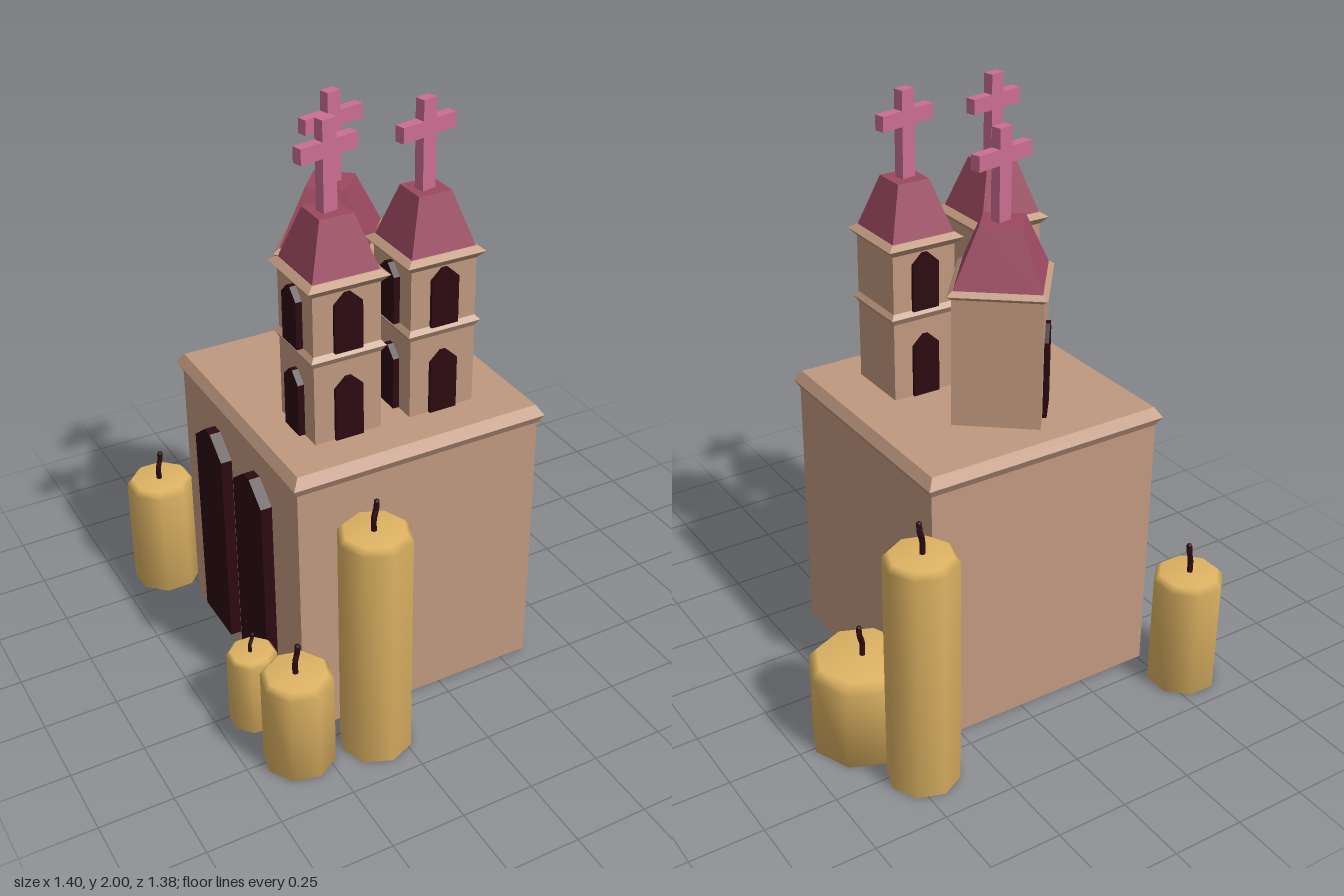
import * as THREE from 'three';

const mat = (name, color) => {
  const m = new THREE.MeshStandardMaterial({ color });
  m.name = name;
  return m;
};

export function createModel() {
  const stone = mat('stone', 0xc0987f);
  const roofRed = mat('roofRed', 0x9c4860);
  const pink = mat('pink', 0xcb6d90);
  const wax = mat('wax', 0xdeb363);
  const dark = mat('dark', 0x2c0a11);

  const model = new THREE.Group();
  model.name = 'chapel';

  const add = (parent, name, geometry, material, x = 0, y = 0, z = 0) => {
    const mesh = new THREE.Mesh(geometry, material);
    mesh.name = name;
    mesh.position.set(x, y, z);
    parent.add(mesh);
    return mesh;
  };

  // Square stack: profile of [half width, height], flat faces
  const squareStack = (profile) => {
    const pts = [[0, profile[0][1]], ...profile, [0, profile[profile.length - 1][1]]]
      .map(([h, y]) => new THREE.Vector2(h * Math.SQRT2, y));
    const g = new THREE.LatheGeometry(pts, 4, Math.PI / 4).toNonIndexed();
    g.computeVertexNormals();
    return g;
  };

  // Pointed opening, standing on y = 0, facing +z
  const archPanel = (w, h, shoulder, depth) => {
    const s = new THREE.Shape();
    s.moveTo(-w / 2, 0);
    s.lineTo(w / 2, 0);
    s.lineTo(w / 2, h - shoulder);
    s.lineTo(w * 0.1, h);
    s.lineTo(-w * 0.1, h);
    s.lineTo(-w / 2, h - shoulder);
    s.closePath();
    return new THREE.ExtrudeGeometry(s, { depth, bevelEnabled: false });
  };

  // Put a panel on a wall at the given distance; angle 0 = front
  const mount = (parent, name, geometry, angle, dist, y, along = 0) => {
    const pivot = new THREE.Group();
    pivot.rotation.y = angle;
    parent.add(pivot);
    add(pivot, name, geometry, dark, along, y, dist);
  };

  const addCross = (x, y, z, height, span) => {
    const cross = new THREE.Group();
    cross.name = 'cross';
    cross.position.set(x, y, z);
    cross.rotation.y = 0.22;
    const armY = height - 0.09;
    add(cross, 'crossPost', new THREE.BoxGeometry(0.052, height + 0.01, 0.036), pink, 0, height / 2 - 0.005);
    for (const side of [-1, 1]) {
      const len = (span - 0.052) / 2;
      add(cross, 'crossArm', new THREE.BoxGeometry(len, 0.05, 0.036), pink, side * (0.026 + len / 2), armY);
    }
    model.add(cross);
  };

  // Main block with cornice
  add(model, 'mainBlock', squareStack([
    [0.43, 0], [0.43, 0.935], [0.447, 0.965], [0.425, 1],
  ]), stone, -0.083, 0, 0.005);

  // Tall doors on the right wall
  for (const z of [-0.153, 0.147]) {
    const door = add(model, 'blockDoor', archPanel(0.207, 0.78, 0.065, 0.04), dark, -0.511, 0.07, z);
    door.rotation.y = -Math.PI / 2;
  }

  // Two front towers
  for (const x of [-0.266, 0.067]) {
    const tower = new THREE.Group();
    tower.name = 'frontTower';
    tower.position.set(x, 1, 0.185);
    add(tower, 'towerWall', squareStack([
      [0.115, 0], [0.115, 0.27], [0.128, 0.292], [0.115, 0.308],
      [0.115, 0.505], [0.137, 0.53], [0.115, 0.545],
    ]), stone);
    add(tower, 'towerRoof', squareStack([[0.114, 0.54], [0.057, 0.717]]), roofRed);
    // Windows on front, back and right walls
    for (const angle of [0, Math.PI, -Math.PI / 2]) {
      const depth = angle < 0 ? 0.023 : 0.014;
      mount(tower, 'lowerWindow', archPanel(0.095, 0.215, 0.036, depth), angle, 0.113, 0.002);
      mount(tower, 'upperWindow', archPanel(0.095, 0.195, 0.036, depth), angle, 0.113, 0.306);
    }
    model.add(tower);
    addCross(x - 0.004, 1.717, 0.187, 0.285, 0.212);
  }

  // Turned rear tower
  const rear = new THREE.Group();
  rear.name = 'rearTower';
  rear.position.set(-0.084, 1, -0.148);
  rear.rotation.y = -0.68;
  add(rear, 'rearWall', squareStack([
    [0.143, 0], [0.143, 0.435], [0.156, 0.448], [0.14, 0.463],
  ]), stone);
  add(rear, 'rearRoof', squareStack([[0.14, 0.46], [0.067, 0.647]]), roofRed);
  for (const angle of [0, -Math.PI / 2]) {
    mount(rear, 'rearDoor', archPanel(0.13, 0.31, 0.045, 0.016), angle, 0.141, 0.002);
  }
  model.add(rear);
  addCross(-0.082, 1.647, -0.142, 0.298, 0.23);

  // Candles: x, z, radius, height, wick length, turn
  const candles = [
    [-0.322, 0.57, 0.12, 0.835, 0.105, 0],
    [-0.575, 0.523, 0.118, 0.35, 0.105, 0.15],
    [-0.622, 0.287, 0.083, 0.28, 0.07, 0.35],
    [-0.572, -0.58, 0.121, 0.425, 0.105, 0.4],
    [0.455, -0.54, 0.12, 0.835, 0.105, 0.08],
    [0.52, -0.265, 0.178, 0.318, 0.105, 0],
  ];
  for (const [x, z, r, h, wick, turn] of candles) {
    const candle = new THREE.Group();
    candle.name = 'candle';
    candle.position.set(x, 0, z);
    const profile = [[0, 0], [r, 0], [r, h - r * 0.18], [r * 0.84, h], [0, h]]
      .map(([a, b]) => new THREE.Vector2(a, b));
    add(candle, 'candleWax', new THREE.LatheGeometry(profile, 8), wax).rotation.y = turn;
    // Slightly bent wick
    const path = new THREE.CatmullRomCurve3([
      new THREE.Vector3(-0.004, h - 0.01, 0),
      new THREE.Vector3(-0.007, h + wick * 0.4, 0.004),
      new THREE.Vector3(0.004, h + wick * 0.75, 0),
      new THREE.Vector3(0.003, h + wick, 0.004),
    ]);
    const wr = wick * 0.095;
    add(candle, 'wick', new THREE.TubeGeometry(path, 8, wr, 6), dark);
    add(candle, 'wickTip', new THREE.SphereGeometry(wr, 6, 4), dark, 0.003, h + wick - wr * 0.3, 0.004);
    model.add(candle);
  }

  return model;
}
